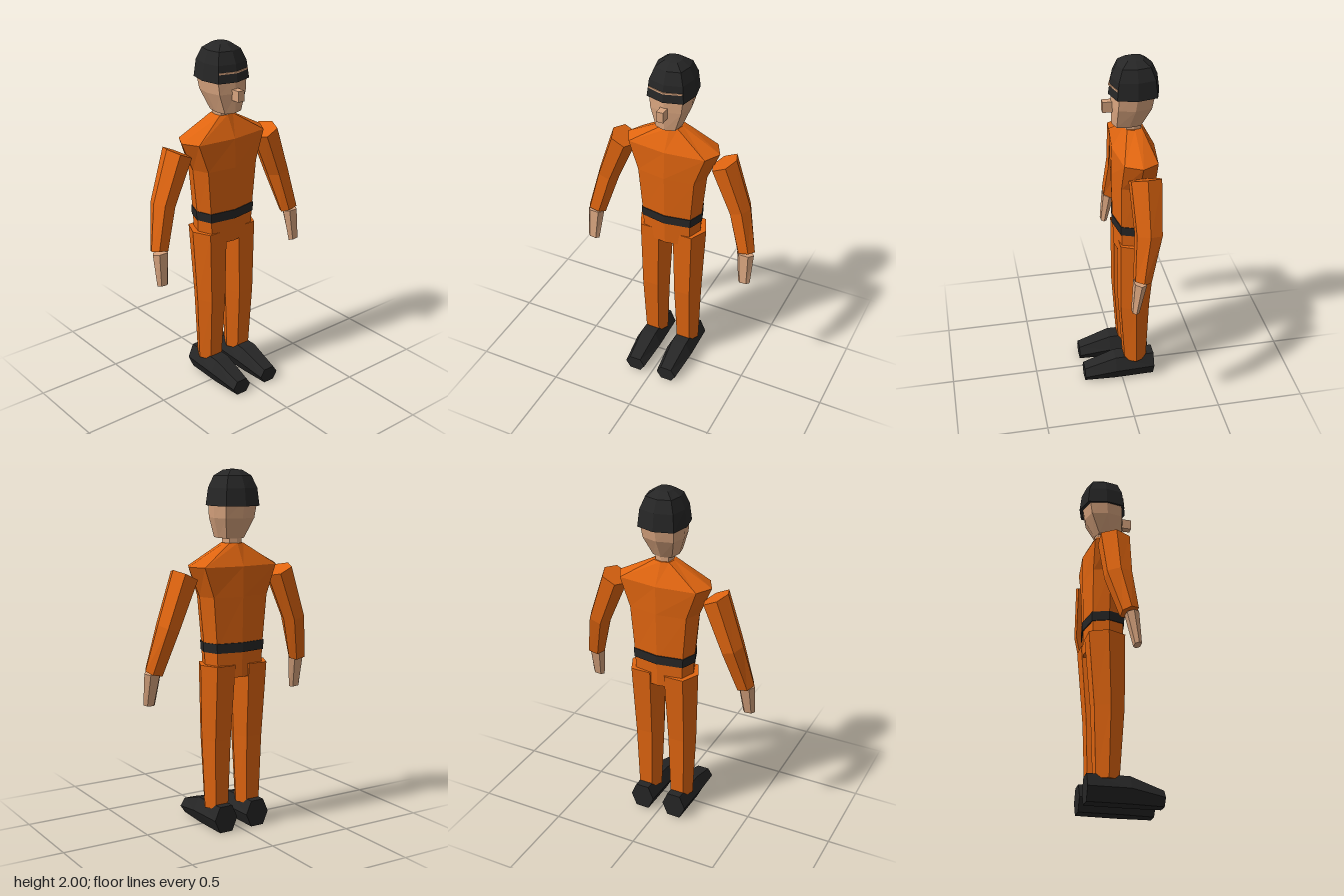
import * as THREE from 'three';

const mat = (name, color) => {
  const m = new THREE.MeshStandardMaterial({ color, flatShading: true });
  m.name = name;
  return m;
};

// Unit cross-sections: six sides for limbs, eight for trunk and head
const HEX = [[1, 0], [0.55, 1], [-0.55, 1], [-1, 0], [-0.55, -1], [0.55, -1]];
const OCT = [[1, 0], [0.82, 0.78], [0, 1], [-0.82, 0.78], [-1, 0], [-0.82, -0.78], [0, -1], [0.82, -0.78]];

// Closed loft; each section is { c: centre, u: half width vector, v: half depth vector }
function loft(outline, sections) {
  const rings = sections.map(({ c, u, v }) =>
    outline.map(([a, b]) => [0, 1, 2].map(k => c[k] + u[k] * a + v[k] * b)));
  const pos = [];
  const tri = (a, b, c) => pos.push(...a, ...b, ...c);
  const n = outline.length, last = rings.length - 1;
  for (let i = 0; i < n; i++) {
    const j = (i + 1) % n;
    for (let r = 0; r < last; r++) {
      const p = rings[r], q = rings[r + 1];
      tri(p[i], q[i], p[j]);
      tri(q[i], q[j], p[j]);
    }
    tri(sections[0].c, rings[0][i], rings[0][j]);
    tri(sections[last].c, rings[last][j], rings[last][i]);
  }
  const g = new THREE.BufferGeometry();
  g.setAttribute('position', new THREE.Float32BufferAttribute(pos, 3));
  g.computeVertexNormals();
  return g;
}

// Level section at height y, from half width and back/front z
const level = (y, hx, back, front, x = 0) => ({
  c: [x, y, (back + front) / 2], u: [hx, 0, 0], v: [0, 0, (front - back) / 2],
});

export function createModel() {
  const group = new THREE.Group();
  group.name = 'figure';
  const orange = mat('orange cloth', 0xe06510);
  const skin = mat('skin', 0xd9a57f);
  const black = mat('black', 0x262626);

  const add = (name, geometry, material, parent = group) => {
    const m = new THREE.Mesh(geometry, material);
    m.name = name;
    parent.add(m);
    return m;
  };

  // Trunk, from hips to collar
  add('torso', loft(OCT, [
    level(0.875, 0.17, -0.187, 0.025),
    level(1.04, 0.177, -0.19, 0.03),
    level(1.32, 0.205, -0.197, 0.038),
    level(1.485, 0.275, -0.2, 0.033),
    level(1.605, 0.055, -0.137, -0.03),
  ]), orange);
  add('belt', loft(OCT, [
    level(1.015, 0.181, -0.196, 0.035),
    level(1.068, 0.183, -0.197, 0.036),
  ]), black);

  // Head
  add('neck', loft(OCT, [
    level(1.58, 0.047, -0.13, -0.03),
    level(1.65, 0.047, -0.13, -0.03),
  ]), skin);
  add('head', loft(OCT, [
    level(1.63, 0.068, -0.132, 0.034),
    level(1.74, 0.109, -0.19, 0.039),
    level(1.84, 0.121, -0.208, 0.035),
  ]), skin);
  const nose = add('nose', new THREE.BoxGeometry(0.04, 0.06, 0.06), skin);
  nose.position.set(0, 1.735, 0.055);

  // Cap with a thin folded stripe on its front
  add('cap', loft(OCT, [
    level(1.805, 0.128, -0.222, 0.052),
    level(1.9, 0.117, -0.21, 0.039),
    level(1.965, 0.09, -0.18, 0.01),
    level(1.995, 0.045, -0.135, -0.035),
    level(2.0, 0.012, -0.097, -0.073),
  ]), black);
  const band = new THREE.Shape();
  [[-0.097, 0.02], [-0.095, 0.011], [0, 0.041], [0.095, 0.011], [0.097, 0.02], [0, 0.05]]
    .forEach(([x, z], i) => (i ? band.lineTo(x, z) : band.moveTo(x, z)));
  const stripe = add('capStripe',
    new THREE.ExtrudeGeometry(band, { depth: 0.009, bevelEnabled: false }), skin);
  stripe.rotation.x = Math.PI / 2;
  stripe.position.y = 1.862;

  for (const s of [-1, 1]) {
    const side = s > 0 ? 'left' : 'right';

    // Sleeve, tilted sections from wrist to shoulder
    const tilted = (x, y, z, ux, uy, vy, vz) => ({
      c: [s * x, y, z], u: [ux, s * uy, 0], v: [0, vy, vz],
    });
    const arm = new THREE.Group();
    arm.name = side + 'Arm';
    group.add(arm);
    add(side + 'Sleeve', loft(HEX, [
      tilted(0.468, 0.926, -0.042, 0.052, 0.011, 0.012, 0.043),
      tilted(0.405, 1.17, -0.086, 0.06, 0.018, 0.006, 0.068),
      tilted(0.302, 1.443, -0.086, 0.068, 0.033, 0, 0.081),
    ]), orange, arm);
    add(side + 'Hand', loft(HEX, [
      tilted(0.48, 0.738, -0.003, 0.035, 0.003, 0.002, 0.018),
      tilted(0.47, 0.92, -0.03, 0.05, 0, 0.005, 0.032),
    ]), skin, arm);

    // Leg and shoe
    const leg = new THREE.Group();
    leg.name = side + 'Leg';
    group.add(leg);
    add(side + 'Trouser', loft(HEX, [
      level(0.125, 0.073, -0.142, -0.016, s * 0.102),
      level(0.52, 0.088, -0.155, 0.01, s * 0.102),
      level(0.945, 0.104, -0.19, 0.013, s * 0.101),
    ]), orange, leg);
    const sole = (z, hx, h) => ({
      c: [s * 0.103, h / 2, z], u: [hx, 0, 0], v: [0, -h / 2, 0],
    });
    add(side + 'Shoe', loft(HEX, [
      sole(-0.19, 0.072, 0.15),
      sole(0.04, 0.079, 0.147),
      sole(0.224, 0.061, 0.085),
    ]), black, leg);
  }
  return group;
}
